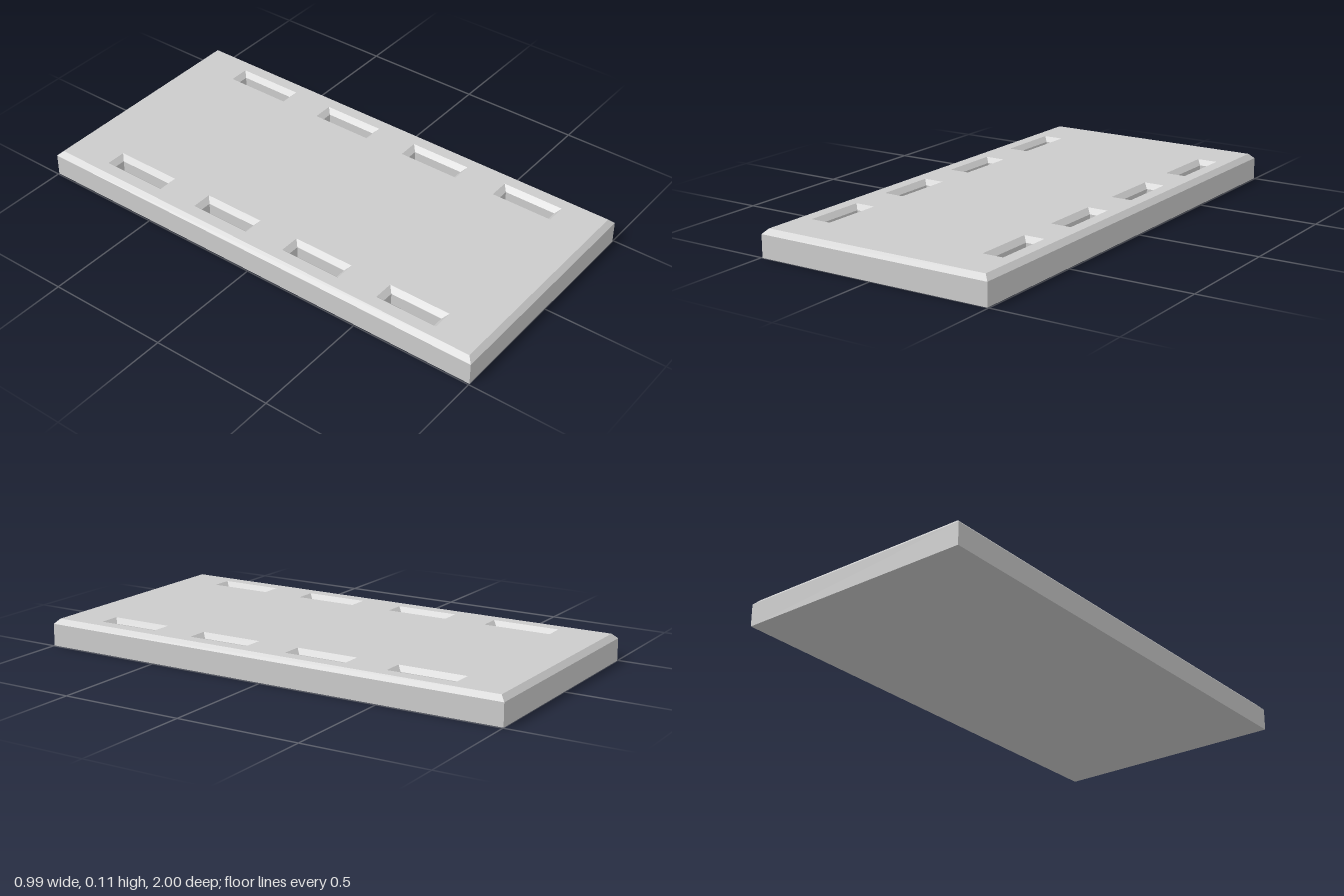
import * as THREE from 'three';

const HEIGHT = 0.11, CHAMFER = 0.02, FLOOR = 0.03;
const material = new THREE.MeshStandardMaterial({ color: 0xcccccc, flatShading: true });

// Rectangle loop, counter-clockwise seen from above.
const corners = ([x0, x1, z0, z1]) => [[x0, z1], [x1, z1], [x1, z0], [x0, z0]];
const inset = ([x0, x1, z0, z1], d) => [x0 + d, x1 - d, z0 + d, z1 - d];

// Joins rectangles stacked in y; rising stacks face outward, falling ones inward.
function loft(sections, { startCap = false, endCap = false }) {
  const positions = [], index = [];
  for (const [rect, y] of sections)
    for (const [x, z] of corners(rect)) positions.push(x, y, z);
  for (let s = 0; s < sections.length - 1; s++)
    for (let i = 0; i < 4; i++) {
      const a = s * 4 + i, b = s * 4 + (i + 1) % 4;
      index.push(a, b, b + 4, a, b + 4, a + 4);
    }
  const e = (sections.length - 1) * 4;
  if (startCap) index.push(0, 2, 1, 0, 3, 2);
  if (endCap) index.push(e, e + 1, e + 2, e, e + 2, e + 3);
  const indexed = new THREE.BufferGeometry();
  indexed.setAttribute('position', new THREE.Float32BufferAttribute(positions, 3));
  indexed.setIndex(index);
  const geometry = indexed.toNonIndexed();
  geometry.computeVertexNormals();
  return geometry;
}

export function createModel() {
  const model = new THREE.Group();
  model.name = 'slottedBoard';
  const add = (name, geometry) => {
    const mesh = new THREE.Mesh(geometry, material);
    mesh.name = name;
    model.add(mesh);
    return mesh;
  };

  // Slab sides, chamfered rim and underside
  const outline = [-0.495, 0.495, -1, 1];
  const topOutline = inset(outline, CHAMFER);
  add('slab', loft([[outline, 0], [outline, HEIGHT - CHAMFER], [topOutline, HEIGHT]], { startCap: true }));

  // Four slots along each long edge
  const slots = [];
  for (const [z0, z1] of [[-0.78, -0.5], [-0.325, -0.065], [0.11, 0.37], [0.545, 0.805]])
    for (const [x0, x1] of [[-0.425, -0.34], [0.34, 0.425]]) slots.push([x0, x1, z0, z1]);

  // Top surface with slot openings
  const points = (rect) => corners(rect).map(([x, z]) => new THREE.Vector2(x, -z));
  const top = new THREE.Shape(points(topOutline));
  for (const slot of slots) top.holes.push(new THREE.Path(points(slot)));
  const surface = add('topSurface', new THREE.ShapeGeometry(top));
  surface.rotation.x = -Math.PI / 2;
  surface.position.y = HEIGHT;

  // Recessed slots: chamfered lip, straight walls, flat floor
  for (const slot of slots) {
    const well = inset(slot, CHAMFER);
    add('slot', loft([[slot, HEIGHT], [well, HEIGHT - CHAMFER], [well, FLOOR]], { endCap: true }));
  }
  return model;
}
